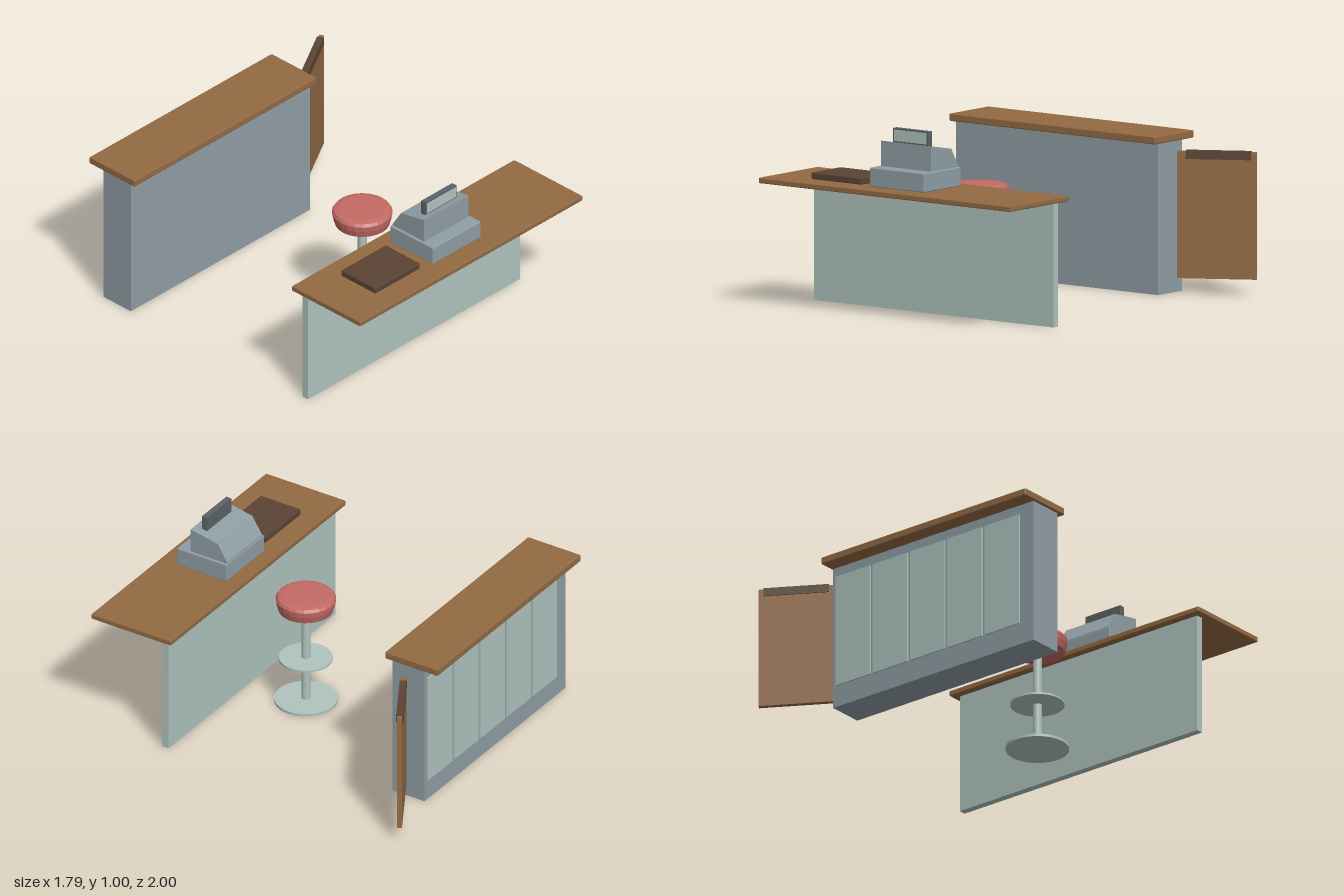
import * as THREE from 'three';
import { RoundedBoxGeometry } from 'three/addons/geometries/RoundedBoxGeometry.js';

const material = (name, color, flatShading = false) => {
  const m = new THREE.MeshStandardMaterial({ color, flatShading });
  m.name = name;
  return m;
};

export function createModel() {
  const wood = material('wood', 0x936a43);
  const darkWood = material('dark wood', 0x5a4434);
  const paleGreen = material('pale green', 0xafc3be);
  const slate = material('slate grey', 0x8f9ea5);
  const charcoal = material('charcoal', 0x5c6266);
  const red = material('red cushion', 0xc46a64, true);

  const model = new THREE.Group();
  model.name = 'shopCounter';

  const add = (parent, name, geometry, mat, x = 0, y = 0, z = 0) => {
    const mesh = new THREE.Mesh(geometry, mat);
    mesh.name = name;
    mesh.position.set(x, y, z);
    parent.add(mesh);
    return mesh;
  };
  // Box given by its limits on each axis; bevel > 0 softens the edges
  const box = (parent, name, mat, [x0, x1], [y0, y1], [z0, z1], bevel = 0) => {
    const size = [x1 - x0, y1 - y0, z1 - z0];
    const geometry = bevel
      ? new RoundedBoxGeometry(...size, 1, bevel)
      : new THREE.BoxGeometry(...size);
    return add(parent, name, geometry, mat, (x0 + x1) / 2, (y0 + y1) / 2, (z0 + z1) / 2);
  };
  const group = (name, x = 0, y = 0, z = 0) => {
    const g = new THREE.Group();
    g.name = name;
    g.position.set(x, y, z);
    model.add(g);
    return g;
  };

  // Front counter: overhanging top on a single upright panel
  const front = group('frontCounter');
  box(front, 'frontCounterTop', wood, [-0.88, 0.805], [0.665, 0.695], [0.5, 1], 0.006);
  box(front, 'frontCounterPanel', paleGreen, [-0.84, 0.765], [0, 0.667], [0.54, 0.58]);
  box(front, 'deskPad', darkWood, [-0.63, -0.292], [0.695, 0.73], [0.62, 0.87], 0.005);

  // Back counter: solid cabinet with five raised panels behind
  const back = group('backCounter');
  box(back, 'backCounterTop', wood, [-0.895, 0.485], [0.805, 0.845], [-0.965, -0.635], 0.006);
  box(back, 'backCounterBody', slate, [-0.88, 0.475], [0, 0.807], [-0.877, -0.675]);
  for (let i = 0; i < 5; i++) {
    const x = 0.453 - i * 0.252;
    box(back, 'backPanel', paleGreen, [x - 0.234, x], [0.12, 0.75], [-0.886, -0.876]);
  }

  // Swing gate standing open
  const gate = group('gate', 0.705, 0, -0.883);
  gate.rotation.y = Math.PI / 6;
  box(gate, 'gateBoard', wood, [-0.211, 0.211], [0.085, 0.76], [-0.0135, 0.0135]);
  box(gate, 'gateTopRail', darkWood, [-0.165, 0.183], [0.72, 0.765], [-0.0185, 0.0185]);

  // Stool
  const stool = group('stool', -0.035, 0, 0.2);
  const disc = (name, r, h, y, sides = 32) =>
    add(stool, name, new THREE.CylinderGeometry(r, r, h, sides), paleGreen, 0, y, 0);
  disc('stoolBase', 0.168, 0.015, 0.0075);
  disc('stoolPole', 0.024, 0.55, 0.29, 16);
  disc('stoolFootRest', 0.143, 0.011, 0.262);
  const cushion = [[0, 0.562], [0.145, 0.562], [0.156, 0.6], [0.16, 0.63], [0.15, 0.645], [0.125, 0.651], [0, 0.653]];
  add(stool, 'stoolSeat',
    new THREE.LatheGeometry(cushion.map(([r, y]) => new THREE.Vector2(r, y)), 24), red);

  // Cash register: drawer, sloping body and display
  const register = group('cashRegister');
  box(register, 'registerDrawer', slate, [-0.218, 0.146], [0.695, 0.797], [0.58, 0.893], 0.006);
  const side = new THREE.Shape(
    [[0.585, 0.79], [0.815, 0.79], [0.815, 0.932], [0.645, 0.9], [0.585, 0.805]]
      .map(([z, y]) => new THREE.Vector2(-z, y)));
  const body = add(register, 'registerBody',
    new THREE.ExtrudeGeometry(side, { depth: 0.335, bevelEnabled: false }), slate, 0.132, 0, 0);
  body.rotation.y = -Math.PI / 2;
  body.scale.set(1, 1, 1);
  body.rotation.y = Math.PI / 2;
  body.position.x = -0.203;
  box(register, 'registerDisplay', charcoal, [-0.154, 0.082], [0.91, 1], [0.745, 0.777]);
  box(register, 'displayWindow', paleGreen, [-0.144, 0.072], [0.932, 0.992], [0.776, 0.78]);

  return model;
}
